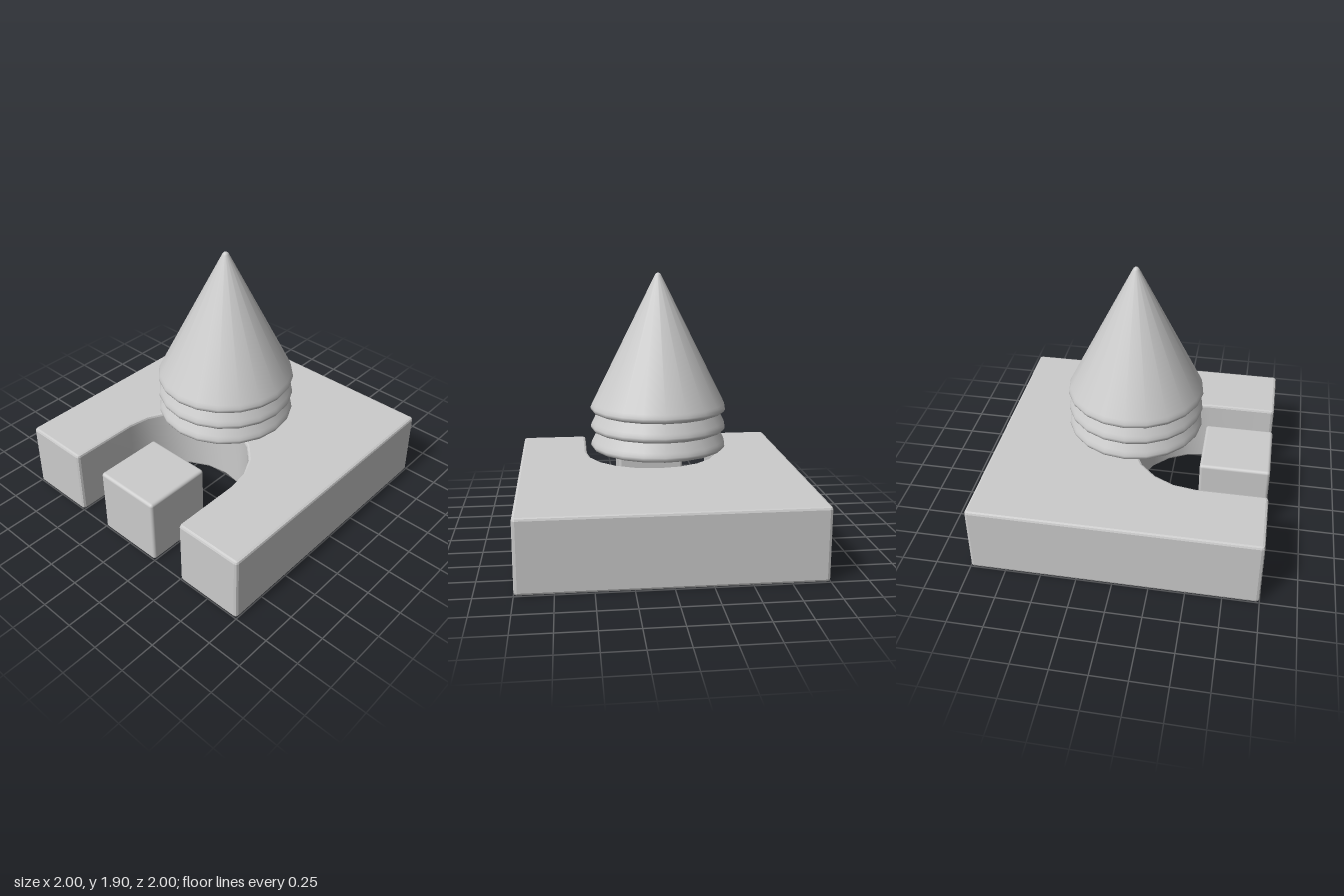
import * as THREE from 'three';
import { toCreasedNormals } from 'three/addons/utils/BufferGeometryUtils.js';
import { RoundedBoxGeometry } from 'three/addons/geometries/RoundedBoxGeometry.js';

const BEVEL = 0.018;

// Square slab with a round-ended slot cut in from the front
function slabGeometry() {
  const pts = [];
  const r = 0.022;
  // rounded right-angle corner, entered along (ax, ay) and left along (bx, by)
  const corner = (x, y, ax, ay, bx, by) => {
    const k = r * 0.293;
    pts.push(
      new THREE.Vector2(x - ax * r, y - ay * r),
      new THREE.Vector2(x + (bx - ax) * k, y + (by - ay) * k),
      new THREE.Vector2(x + bx * r, y + by * r));
  };
  corner(-1, -1, 0, -1, 1, 0);
  corner(-0.5, -1, 1, 0, 0, 1);
  for (let i = 0; i <= 10; i++) {
    const a = Math.PI * (1 - i / 10);
    pts.push(new THREE.Vector2(0.5 * Math.cos(a), -0.5 + 0.5 * Math.sin(a)));
  }
  corner(0.5, -1, 0, -1, 1, 0);
  corner(1, -1, 1, 0, 0, 1);
  corner(1, 1, 0, 1, -1, 0);
  corner(-1, 1, -1, 0, 0, -1);
  const geo = new THREE.ExtrudeGeometry(new THREE.Shape(pts), {
    depth: 0.5 - 2 * BEVEL, bevelEnabled: true, bevelThickness: BEVEL,
    bevelSize: BEVEL, bevelOffset: -BEVEL, bevelSegments: 2,
  });
  geo.rotateX(-Math.PI / 2).translate(0, BEVEL, 0);
  return toCreasedNormals(geo, 0.34);
}

// Twenty-sided cone with a softened rim and tip
function coneGeometry() {
  const profile = [
    [0, 0], [0.449, 0], [0.455, 0], [0.472, 0.007], [0.481, 0.022], [0.48, 0.035],
    [0.474, 0.052], [0.468, 0.064], [0.024, 0.952], [0.018, 0.962], [0.009, 0.969], [0, 0.971],
  ].map(([x, y]) => new THREE.Vector2(x, y));
  return new THREE.LatheGeometry(profile, 20);
}

export function createModel() {
  const model = new THREE.Group();
  const material = new THREE.MeshStandardMaterial({ color: 0xcccccc });
  const add = (name, geometry, x, y, z) => {
    const mesh = new THREE.Mesh(geometry, material);
    mesh.name = name;
    mesh.position.set(x, y, z);
    model.add(mesh);
  };

  add('slottedBase', slabGeometry(), 0, 0, 0);
  add('slotBlock', new RoundedBoxGeometry(0.5, 0.5, 0.5, 3, 0.022), 0, 0.25, 0.75);

  // Three nested cones floating above the base
  const cone = coneGeometry();
  ['lowerCone', 'middleCone', 'upperCone'].forEach((name, i) => {
    add(name, cone, 0, 0.665 + i * 0.1325, 0);
  });
  return model;
}
